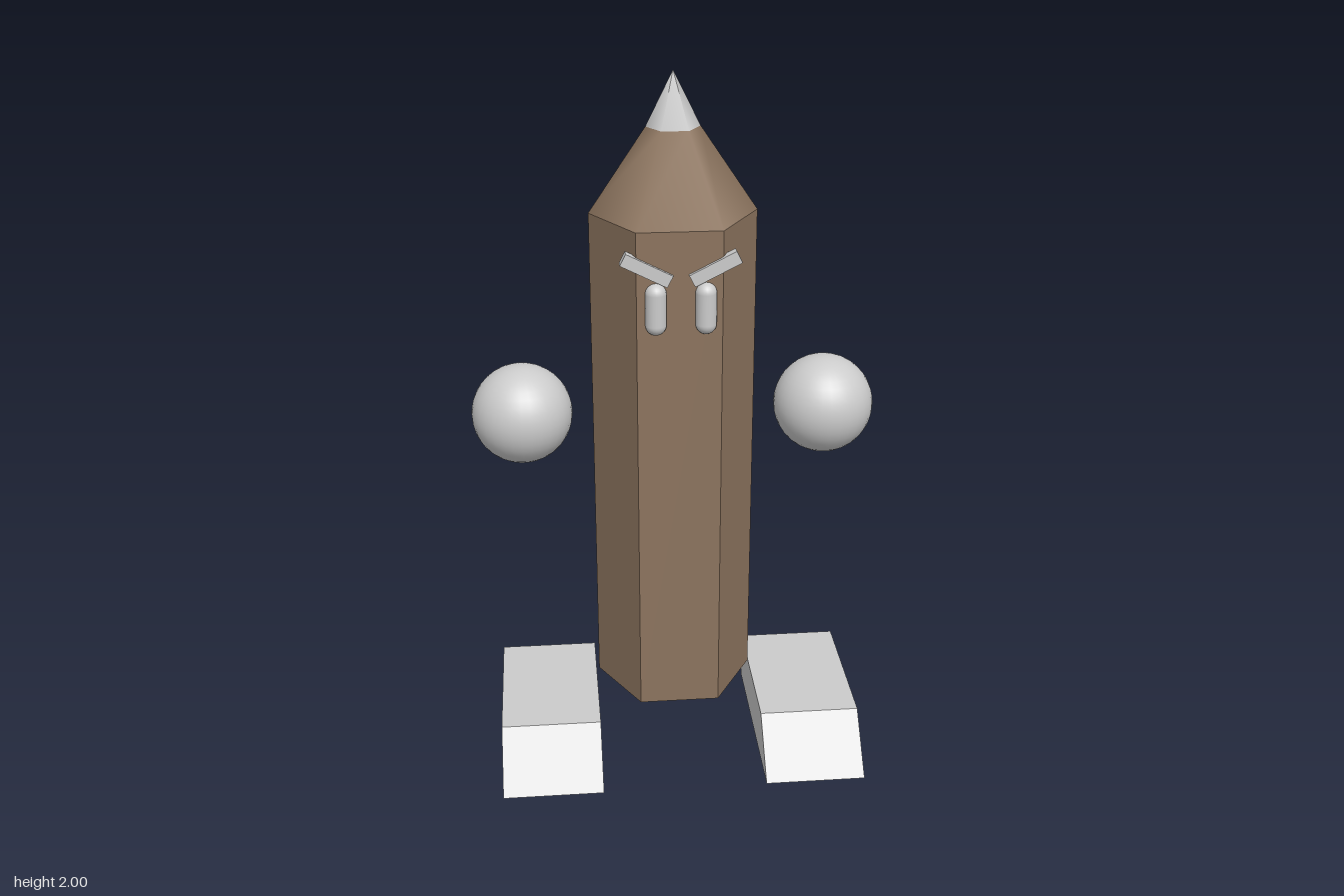
import * as THREE from 'three';

const grey = new THREE.MeshStandardMaterial({ color: 0xcccccc });
const greyFlat = new THREE.MeshStandardMaterial({ color: 0xcccccc, flatShading: true });
const wood = new THREE.MeshStandardMaterial({ color: 0x8c745e });
const woodFlat = new THREE.MeshStandardMaterial({ color: 0x8c745e, flatShading: true });

const AXIS_X = -0.003, AXIS_Z = -0.117;

export function createModel() {
  const model = new THREE.Group();
  model.name = 'pencilFigure';

  const add = (name, geometry, material, x, y, z) => {
    const mesh = new THREE.Mesh(geometry, material);
    mesh.name = name;
    mesh.position.set(x, y, z);
    model.add(mesh);
    return mesh;
  };

  // Six-sided section with corners pointing to the sides
  const hexSection = (name, rTop, rBottom, y0, y1, open, material) => {
    const geometry = new THREE.CylinderGeometry(rTop, rBottom, y1 - y0, 6, 1, open, Math.PI / 6);
    return add(name, geometry, material, AXIS_X, (y0 + y1) / 2, AXIS_Z);
  };
  hexSection('body', 0.234, 0.234, 0.15, 1.615, false, woodFlat);
  hexSection('sharpenedWood', 0.075, 0.234, 1.615, 1.85, true, wood);
  hexSection('leadTip', 0, 0.075, 1.85, 2, true, grey);

  // Foot side outline (z forward, y up), extruded across its width
  const footShape = new THREE.Shape([
    [-0.267, 0], [0.317, 0], [0.173, 0.147], [-0.267, 0.147],
  ].map(([z, y]) => new THREE.Vector2(z, y)));
  const footWidth = 0.292;
  const footGeometry = new THREE.ExtrudeGeometry(footShape, { depth: footWidth, bevelEnabled: false })
    .translate(0, 0, -footWidth / 2)
    .rotateY(-Math.PI / 2);

  for (const [side, s] of [['left', 1], ['right', -1]]) {
    add(side + 'Foot', footGeometry, greyFlat, s * 0.385 - 0.006, 0, 0);
    add(side + 'Hand', new THREE.SphereGeometry(0.145, 32, 20), grey, s * 0.439 - 0.002, 1.028, AXIS_Z);
    add(side + 'Eye', new THREE.CapsuleGeometry(0.029, 0.087, 8, 20), grey, s * 0.068, 1.402, 0.087);
    // Brows slope down towards the middle
    const brow = add(side + 'Brow', new THREE.BoxGeometry(0.142, 0.036, 0.03), greyFlat, s * 0.0926, 1.513, 0.082);
    brow.rotation.z = s * 0.47;
  }
  return model;
}
